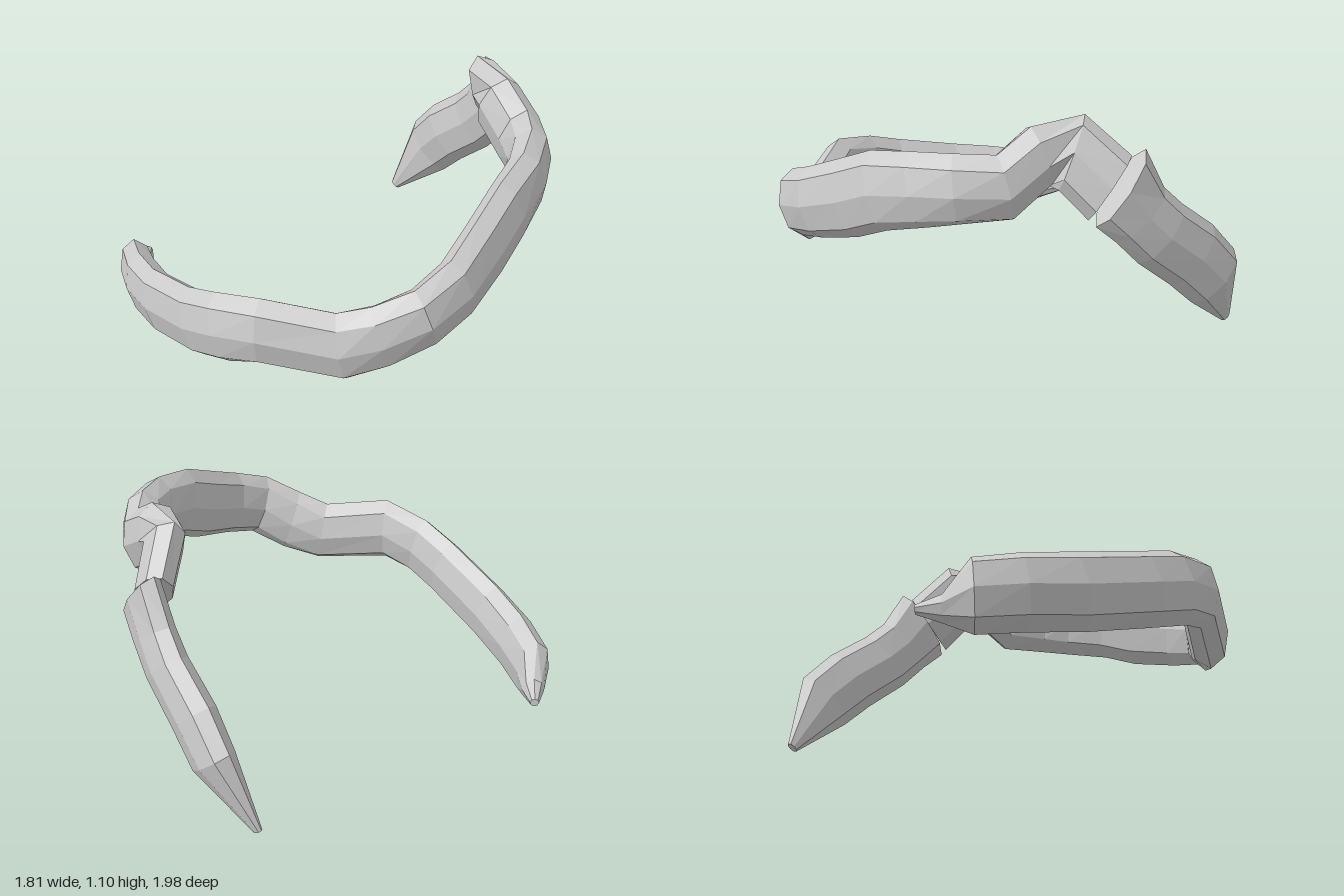
import * as THREE from 'three';

const SIDES = 8;

// Each station: centre x, y, z, half-height vector x, y, z, half-thickness.
// Rings are oval, tall along the half-height vector, thin across the path.
function makeBand(name, stations) {
  const centres = stations.map(s => new THREE.Vector3(s[0], s[1], s[2]));
  const positions = [], index = [];
  stations.forEach((s, i) => {
    const before = centres[Math.max(i - 1, 0)];
    const after = centres[Math.min(i + 1, centres.length - 1)];
    const tangent = after.clone().sub(before).normalize();
    const tall = new THREE.Vector3(s[3], s[4], s[5]);
    const side = tangent.clone().cross(tall).normalize().multiplyScalar(s[6]);
    for (let k = 0; k < SIDES; k++) {
      const a = (k / SIDES) * Math.PI * 2;
      const p = centres[i].clone().addScaledVector(tall, Math.cos(a)).addScaledVector(side, Math.sin(a));
      positions.push(p.x, p.y, p.z);
    }
  });

  // Skin between neighbouring rings
  for (let i = 0; i < stations.length - 1; i++) {
    for (let k = 0; k < SIDES; k++) {
      const a = i * SIDES + k, b = i * SIDES + (k + 1) % SIDES;
      index.push(a, b, a + SIDES, b, b + SIDES, a + SIDES);
    }
  }
  // End caps
  const last = (stations.length - 1) * SIDES;
  for (let k = 1; k < SIDES - 1; k++) {
    index.push(0, k + 1, k);
    index.push(last, last + k, last + k + 1);
  }

  const geometry = new THREE.BufferGeometry();
  geometry.setAttribute('position', new THREE.Float32BufferAttribute(positions, 3));
  geometry.setIndex(index);
  geometry.computeVertexNormals();
  const material = new THREE.MeshStandardMaterial({
    color: 0xcccccc, flatShading: true, side: THREE.DoubleSide,
  });
  const mesh = new THREE.Mesh(geometry, material);
  mesh.name = name;
  return mesh;
}

export function createModel() {
  const group = new THREE.Group();
  group.name = 'curvedBand';

  // Long band: front tip, round the left side, up to the hook at the back
  group.add(makeBand('longBand', [
    [-0.90, 0.125, 0.56, 0, 0.02, 0, 0.02],
    [-0.83, 0.12, 0.64, 0, 0.06, 0, 0.05],
    [-0.76, 0.165, 0.72, -0.01, 0.155, 0, 0.08],
    [-0.59, 0.20, 0.80, -0.02, 0.158, 0, 0.085],
    [-0.37, 0.245, 0.865, -0.035, 0.158, 0, 0.08],
    [-0.04, 0.34, 0.91, -0.04, 0.155, 0, 0.08],
    [0.13, 0.40, 0.905, -0.035, 0.157, 0, 0.08],
    [0.31, 0.45, 0.85, 0, 0.16, 0, 0.085],
    [0.57, 0.41, 0.65, -0.02, 0.157, 0.01, 0.09],
    [0.69, 0.47, 0.54, -0.02, 0.15, 0.04, 0.085],
    [0.80, 0.56, 0.42, -0.01, 0.142, 0.045, 0.085],
    [0.815, 0.62, 0.25, 0, 0.152, 0.04, 0.085],
    [0.775, 0.70, 0.04, 0, 0.162, 0.05, 0.085],
    [0.74, 0.78, -0.13, 0, 0.16, 0.05, 0.085],
    [0.68, 0.83, -0.32, 0.01, 0.153, 0.04, 0.09],
    [0.59, 0.85, -0.45, 0.01, 0.15, 0.01, 0.095],
    [0.44, 0.852, -0.56, 0.035, 0.147, 0, 0.1],
    [0.285, 0.955, -0.59, 0.045, 0.135, 0, 0.1],
    [0.175, 0.965, -0.66, -0.075, 0.14, 0.01, 0.085],
    [0.085, 0.83, -0.79, -0.095, 0.12, -0.02, 0.08],
  ]));

  // Short band: hangs from the hook and tapers to the lower back tip
  group.add(makeBand('shortBand', [
    [0.085, 0.85, -0.85, -0.115, 0.14, -0.015, 0.065],
    [-0.01, 0.715, -0.87, -0.12, 0.09, -0.01, 0.07],
    [-0.11, 0.61, -0.89, -0.11, 0.105, -0.01, 0.075],
    [-0.29, 0.465, -0.905, -0.11, 0.11, -0.01, 0.08],
    [-0.42, 0.33, -0.92, -0.115, 0.095, -0.01, 0.075],
    [-0.605, 0.04, -0.855, -0.022, 0.014, 0, 0.015],
  ]));

  return group;
}
